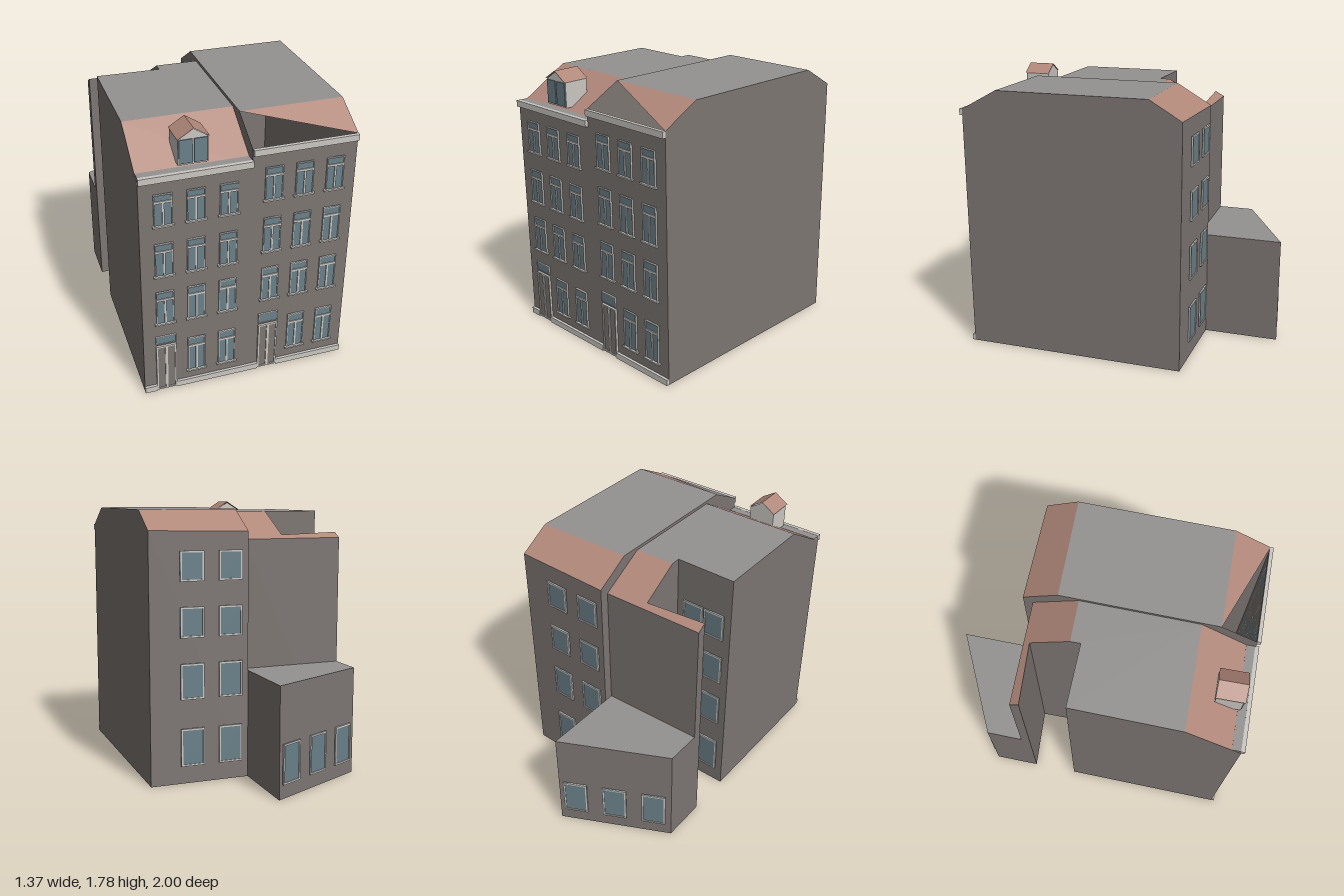
import * as THREE from 'three';

const mat = (name, color) => {
  const m = new THREE.MeshStandardMaterial({ color, side: THREE.DoubleSide });
  m.name = name;
  return m;
};
const WALL = mat('wall', 0x7d7673);
const FLAT = mat('flatRoof', 0x949290);
const TILE = mat('roofTile', 0xb1887a);
const TRIM = mat('trim', 0xcbc8c3);
const GLASS = mat('glass', 0x6a8089);

// Flat polygon from 3D corners, counter-clockwise seen from outside
function face(parent, name, pts, material) {
  const v = pts.map(p => new THREE.Vector3(...p));
  const n = new THREE.Vector3(), t = new THREE.Vector3();
  v.forEach((p, i) => n.add(t.crossVectors(p, v[(i + 1) % v.length])));
  const a = [Math.abs(n.x), Math.abs(n.y), Math.abs(n.z)];
  const drop = a.indexOf(Math.max(...a));
  const flat = pts.map(p => new THREE.Vector2(...p.filter((_, i) => i !== drop)));
  const index = [];
  for (const [i, j, k] of THREE.ShapeUtils.triangulateShape(flat, [])) {
    const m = v[j].clone().sub(v[i]).cross(v[k].clone().sub(v[i]));
    index.push(...(m.dot(n) > 0 ? [i, j, k] : [i, k, j]));
  }
  const g = new THREE.BufferGeometry().setFromPoints(v);
  g.setIndex(index);
  g.computeVertexNormals();
  const mesh = new THREE.Mesh(g, material);
  mesh.name = name;
  parent.add(mesh);
}

// Box given by its extents
function box(parent, name, x0, x1, y0, y1, z0, z1, material) {
  const mesh = new THREE.Mesh(new THREE.BoxGeometry(x1 - x0, y1 - y0, z1 - z0), material);
  mesh.position.set((x0 + x1) / 2, (y0 + y1) / 2, (z0 + z1) / 2);
  mesh.name = name;
  parent.add(mesh);
}

// Upright wall between plan points p and q, its top following a roof profile
function wall(parent, p, q, height, breaks = []) {
  const top = breaks.map(z => (z - p[1]) / (q[1] - p[1])).filter(t => t > 0.001 && t < 0.999);
  const pts = [[p[0], 0, p[1]], [q[0], 0, q[1]]];
  for (const t of [1, ...top.sort((a, b) => b - a), 0]) {
    const z = p[1] + (q[1] - p[1]) * t;
    pts.push([p[0] + (q[0] - p[0]) * t, height(z), z]);
  }
  face(parent, 'wall', pts, WALL);
}
const walls = (parent, plan, height, breaks, skip = -1) => plan.forEach((p, i) => {
  if (i !== skip) wall(parent, p, plan[(i + 1) % plan.length], height, breaks);
});
const floor = (parent, plan) =>
  face(parent, 'floor', plan.map(([x, z]) => [x, 0, z]).reverse(), WALL);
const roof = (parent, name, plan, height, material) =>
  face(parent, name, plan.map(([x, z]) => [x, height(z), z]), material);

// Group whose x axis runs along a wall from p to q and whose z axis points out
function facade(parent, name, p, q) {
  const g = new THREE.Group();
  g.name = name;
  g.position.set(p[0], 0, p[1]);
  g.rotation.y = Math.atan2(p[1] - q[1], q[0] - p[0]);
  parent.add(g);
  return g;
}

// Rectangular rim of four bars
function rim(g, x0, x1, y0, y1, w, d) {
  box(g, 'frame', x0, x0 + w, y0, y1, 0, d, TRIM);
  box(g, 'frame', x1 - w, x1, y0, y1, 0, d, TRIM);
  box(g, 'frame', x0 + w, x1 - w, y1 - w, y1, 0, d, TRIM);
  box(g, 'frame', x0 + w, x1 - w, y0, y0 + w, 0, d, TRIM);
}
function plainWindow(g, x0, x1, y0, y1) {
  box(g, 'glass', x0, x1, y0, y1, 0, 0.006, GLASS);
  rim(g, x0, x1, y0, y1, 0.011, 0.011);
}
function frontWindow(g, x, y0, y1) {
  const bar = y0 + (y1 - y0) * 0.76;
  box(g, 'glass', x - 0.055, x + 0.055, y0, y1, 0, 0.006, GLASS);
  rim(g, x - 0.056, x + 0.056, y0, y1, 0.006, 0.012);
  box(g, 'transomBar', x - 0.05, x + 0.05, bar - 0.007, bar + 0.007, 0, 0.012, TRIM);
  box(g, 'mullion', x - 0.006, x + 0.006, y0, bar, 0, 0.012, TRIM);
  box(g, 'sill', x - 0.066, x + 0.066, y0 - 0.004, y0 + 0.006, 0, 0.02, TRIM);
}
function door(g, x, top) {
  box(g, 'doorLeaf', x - 0.06, x + 0.06, 0, 0.34, 0, 0.008, WALL);
  rim(g, x - 0.065, x + 0.065, 0.004, 0.345, 0.01, 0.014);
  box(g, 'doorMullion', x - 0.008, x + 0.008, 0.01, 0.34, 0, 0.014, TRIM);
  box(g, 'fanlight', x - 0.062, x + 0.062, 0.362, top, 0, 0.008, GLASS);
  rim(g, x - 0.065, x + 0.065, 0.36, top + 0.002, 0.004, 0.011);
}
// Street front: door in the first column, windows everywhere else
function streetFront(g, cols, rows, doorTop, x0, x1) {
  rows.forEach(([y0, y1], r) => cols.forEach((x, c) => {
    if (r === 0 && c === 0) door(g, x, doorTop);
    else frontWindow(g, x, y0, y1);
  }));
  box(g, 'plinth', x0, cols[0] - 0.065, 0, 0.04, 0, 0.018, TRIM);
  box(g, 'plinth', cols[0] + 0.065, x1, 0, 0.04, 0, 0.018, TRIM);
}

const partyX = z => -0.01 + (0.98 - z) / 1.48 * 0.035;
const sideX = z => -0.69 + (0.98 - z) / 1.065 * 0.025;

// Lower house with a side courtyard at the back
function lowHouse() {
  const g = new THREE.Group();
  g.name = 'lowHouse';
  const h = z => z > 0.62 ? 1.72 - (z - 0.62) * 0.611 : z < -0.14 ? 1.72 + (z + 0.14) * 0.567 : 1.72;
  const plan = [[-0.69, 0.98], [-0.01, 0.98], [partyX(-0.44), -0.44], [-0.66, -0.44],
    [-0.66, -0.38], [-0.255, -0.4], [-0.255, -0.075], [-0.665, -0.085]];
  walls(g, plan, h, [0.62, -0.14], 1);
  floor(g, plan);
  roof(g, 'frontSlope', [plan[0], plan[1], [partyX(0.62), 0.62], [sideX(0.62), 0.62]], h, TILE);
  roof(g, 'flatRoof', [[sideX(0.62), 0.62], [partyX(0.62), 0.62], [partyX(-0.14), -0.14],
    [-0.255, -0.14], plan[6], plan[7]], h, FLAT);
  roof(g, 'rearSlope', [[-0.255, -0.14], [partyX(-0.14), -0.14], ...plan.slice(2, 6)], h, TILE);

  const f = facade(g, 'streetFront', [0, 0.98], [1, 0.98]);
  streetFront(f, [-0.547, -0.35, -0.15],
    [[0.105, 0.36], [0.515, 0.75], [0.865, 1.09], [1.212, 1.42]], 0.415, -0.69, -0.005);
  box(f, 'cornice', -0.69, -0.007, 1.5, 1.54, -0.005, 0.02, TRIM);
  box(f, 'gutter', -0.688, -0.01, 1.5, 1.539, -0.06, -0.005, FLAT);

  const b = facade(g, 'courtyardWindows', plan[6], plan[7]);
  for (const [y0, y1] of [[0.11, 0.37], [0.54, 0.77], [0.9, 1.11], [1.25, 1.44]])
    for (const x of [0.05, 0.21]) plainWindow(b, x, x + 0.15, y0, y1);

  // Dormer
  const d = new THREE.Group();
  d.name = 'dormer';
  d.position.x = -0.35;
  g.add(d);
  box(d, 'dormerBody', -0.09, 0.09, 1.555, 1.715, 0.77, 0.935, TRIM);
  for (const s of [-1, 1])
    box(d, 'dormerPane', s * 0.045 - 0.04, s * 0.045 + 0.04, 1.565, 1.712, 0.935, 0.941, GLASS);
  face(d, 'gable', [[-0.09, 1.715, 0.935], [0.09, 1.715, 0.935], [0, 1.772, 0.935]], TRIM);
  face(d, 'gable', [[0.09, 1.715, 0.77], [-0.09, 1.715, 0.77], [0, 1.772, 0.77]], TRIM);
  face(d, 'dormerRoof', [[0.096, 1.717, 0.945], [0.096, 1.717, 0.765], [0, 1.778, 0.765], [0, 1.778, 0.945]], TILE);
  face(d, 'dormerRoof', [[-0.096, 1.717, 0.765], [-0.096, 1.717, 0.945], [0, 1.778, 0.945], [0, 1.778, 0.765]], TILE);
  return g;
}

// Taller house; its front slope is a single triangle, open below
function tallHouse() {
  const g = new THREE.Group();
  g.name = 'tallHouse';
  const h = z => z > 0.74 ? 1.74 - (z - 0.74) * 0.542 : z < -0.27 ? 1.74 + (z + 0.27) * 0.59 : 1.74;
  const plan = [[-0.01, 0.98], [0.65, 0.98], [0.682, -0.48], [0.025, -0.5]];
  const rx = z => 0.65 + (0.98 - z) / 1.46 * 0.032;
  walls(g, plan, h, [0.74, -0.27]);
  floor(g, plan);
  roof(g, 'frontSlope', [plan[1], [rx(0.74), 0.74], [partyX(0.74), 0.74]], h, TILE);
  roof(g, 'flatRoof', [[partyX(0.74), 0.74], [rx(0.74), 0.74], [rx(-0.27), -0.27], [partyX(-0.27), -0.27]], h, FLAT);
  roof(g, 'rearSlope', [[partyX(-0.27), -0.27], [rx(-0.27), -0.27], plan[2], plan[3]], h, TILE);

  const f = facade(g, 'streetFront', [0, 0.98], [1, 0.98]);
  streetFront(f, [0.127, 0.32, 0.515],
    [[0.115, 0.38], [0.54, 0.78], [0.9, 1.14], [1.262, 1.48]], 0.428, -0.005, 0.65);
  box(f, 'cornice', -0.007, 0.65, 1.57, 1.61, -0.005, 0.02, TRIM);

  const b = facade(g, 'rearWindows', plan[2], plan[3]);
  for (const [y0, y1] of [[0.115, 0.36], [0.55, 0.78], [0.945, 1.14], [1.3, 1.49]])
    for (const x of [0.2, 0.457]) plainWindow(b, x, x + 0.157, y0, y1);
  return g;
}

// Single-storey annex with a slanted rear wall
function annex() {
  const g = new THREE.Group();
  g.name = 'annex';
  const h = () => 0.71;
  const plan = [[-0.66, -0.44], [0.024, -0.44], [0.035, -1], [-0.655, -0.68]];
  walls(g, plan, h, [], 0);
  floor(g, plan);
  roof(g, 'annexRoof', plan, h, FLAT);
  const b = facade(g, 'annexWindows', plan[2], plan[3]);
  for (const x of [0.03, 0.297, 0.562]) plainWindow(b, x, x + 0.16, 0.09, 0.345);
  return g;
}

export function createModel() {
  const model = new THREE.Group();
  model.name = 'townHouses';
  model.add(lowHouse(), tallHouse(), annex());
  return model;
}
